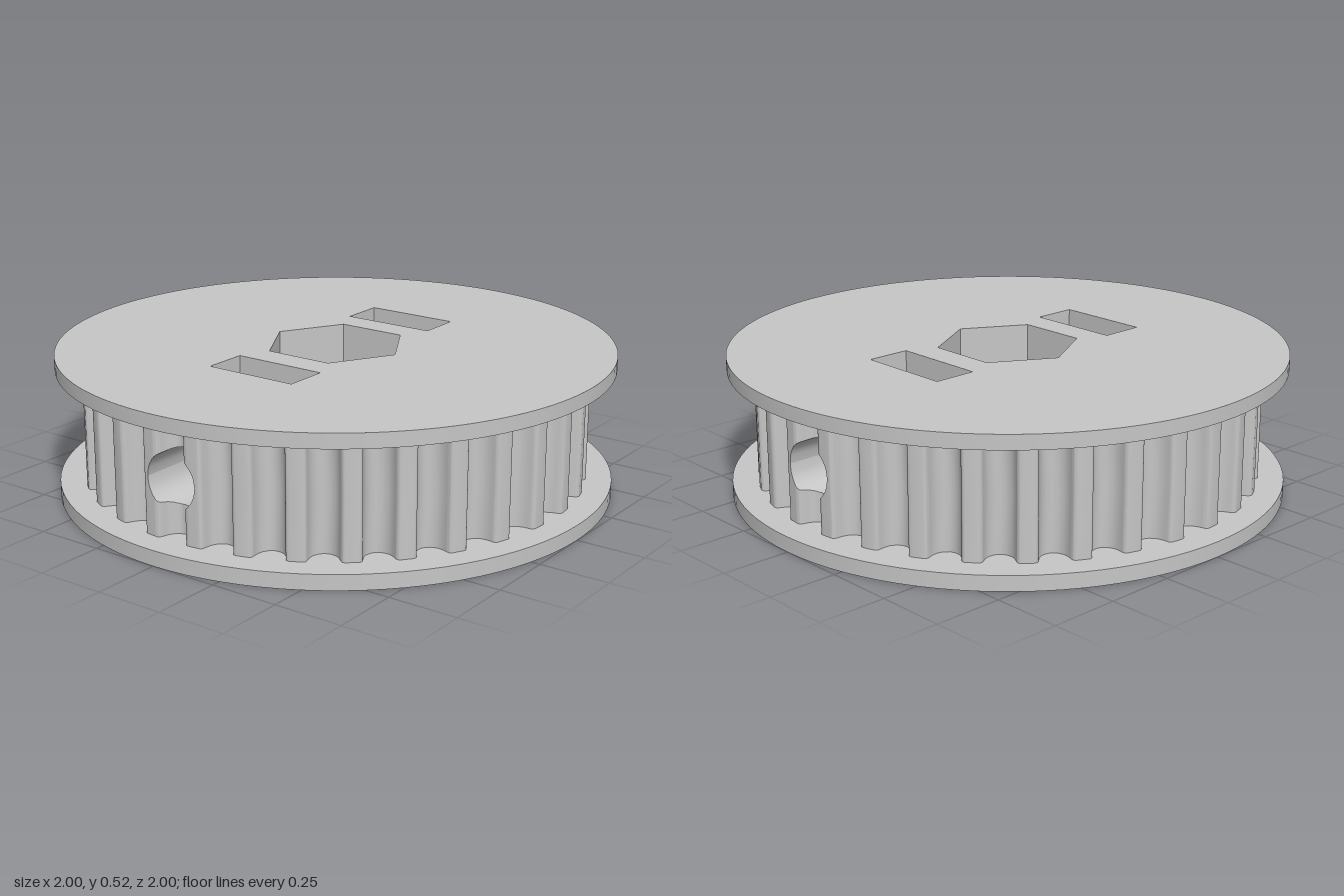
import * as THREE from 'three';
import { toCreasedNormals } from 'three/addons/utils/BufferGeometryUtils.js';

const H = 0.52, LOW = 0.055, HIGH = 0.468;      // total height, flange faces
const TEETH = 32, R = 0.908;                    // toothed rim
const CY = 0.26, HOLE = 0.1;                    // set screw holes along x
const FLAT = 0.222, POINT = 0.256;              // hexagonal bore
const IN = 0.33, OUT = 0.49, PZ = 0.175;        // nut pockets

// Half of one rounded groove: sideways offset, depth
const HALF = [[0.0687, 0], [0.0633, 0.001], [0.0587, 0.004], [0.0553, 0.008], [0.0533, 0.013],
  [0.0512, 0.022], [0.046, 0.0394], [0.036, 0.0565], [0.019, 0.070]];

// Surface between two matching rows of points
function loft(a, b) {
  const pos = [], idx = [];
  a.forEach((p, i) => {
    pos.push(...p, ...b[i]);
    if (i) idx.push(2 * i - 2, 2 * i - 1, 2 * i, 2 * i, 2 * i - 1, 2 * i + 1);
  });
  const g = new THREE.BufferGeometry();
  g.setAttribute('position', new THREE.Float32BufferAttribute(pos, 3));
  g.setIndex(idx);
  return toCreasedNormals(g, 0.6);
}

const polygon = pts => pts.map(([x, y]) => new THREE.Vector2(x, y));
const circlePath = (y, r) => new THREE.Path().absarc(0, y, r, 0, Math.PI * 2, true);

// Closed outline of the toothed rim in x, z, finely divided around the screw holes
function rimOutline() {
  const groove = [...HALF.map(([s, d]) => [-s, d]), [0, 0.075], ...HALF.slice().reverse()];
  const raw = [];
  for (let i = 0; i < TEETH; i++) {
    const a = i / TEETH * Math.PI * 2, c = Math.cos(a), s = Math.sin(a);
    for (const [t, d] of groove) {
      const r = Math.sqrt(R * R - t * t) - d;
      raw.push([r * c - t * s, r * s + t * c]);
    }
  }
  const out = [];
  raw.forEach((a, i) => {
    const b = raw[(i + 1) % raw.length], ts = [0];
    if (Math.abs(a[1]) < 0.13) {
      for (let k = 1; k < 6; k++) ts.push(k / 6);
      for (const z of [-HOLE, HOLE]) {
        const t = (z - a[1]) / (b[1] - a[1]);
        if (t > 0 && t < 1) ts.push(t);
      }
    }
    ts.sort((p, q) => p - q);
    for (const t of ts) out.push([a[0] + (b[0] - a[0]) * t, a[1] + (b[1] - a[1]) * t]);
  });
  out.push(out[0]);
  return out;
}

export function createModel() {
  const group = new THREE.Group();
  const grey = new THREE.MeshStandardMaterial({ color: 0xc6c6c6, side: THREE.DoubleSide });
  grey.name = 'light grey';
  const add = (name, geo) => {
    const m = new THREE.Mesh(geo, grey);
    m.name = name;
    group.add(m);
    return m;
  };

  // Flanges: rim with inner ring, plus the outer face with its openings
  const hex = [0, 1, 2, 3, 4, 5].map(i => {
    const a = Math.PI / 2 + i * Math.PI / 3;
    return [Math.abs(Math.cos(a)) < 0.01 ? 0 : Math.sign(Math.cos(a)) * FLAT, Math.sin(a) * POINT];
  });
  for (const [name, outer, inner] of [['bottomFlange', 0, LOW], ['topFlange', H, HIGH]]) {
    const profile = polygon([[0.82, inner], [1, inner], [1, outer]]);
    add(name + 'Rim', toCreasedNormals(new THREE.LatheGeometry(profile, 96), 0.6));
    const face = new THREE.Shape().absarc(0, 0, 1, 0, Math.PI * 2);
    face.holes.push(new THREE.Path(polygon(hex)));
    if (outer === H) {
      for (const s of [-1, 1]) {
        face.holes.push(new THREE.Path(polygon(
          [[s * IN, -PZ], [s * OUT, -PZ], [s * OUT, PZ], [s * IN, PZ]])));
      }
    }
    const geo = new THREE.ShapeGeometry(face, 96);
    geo.rotateX(outer ? -Math.PI / 2 : Math.PI / 2).translate(0, outer, 0);
    add(name + 'Face', geo);
  }

  // Toothed rim, split above and below the screw holes
  const rim = rimOutline();
  const gap = z => Math.sqrt(Math.max(0, HOLE * HOLE - z * z));
  for (const [name, s, end] of [['lowerTeeth', -1, LOW], ['upperTeeth', 1, HIGH]]) {
    add(name, loft(rim.map(([x, z]) => [x, end, z]), rim.map(([x, z]) => [x, CY + s * gap(z), z])));
  }

  // Bore walls; the two facing x are pierced by the screw holes
  hex.forEach((a, i) => {
    const b = hex[(i + 1) % 6];
    if (Math.abs(a[0] - b[0]) < 0.01) return;
    add('boreWall', loft([[a[0], 0, a[1]], [b[0], 0, b[1]]], [[a[0], H, a[1]], [b[0], H, b[1]]]));
  });
  const plate = (name, pts, x) => {
    const shape = new THREE.Shape(polygon(pts));
    shape.holes.push(circlePath(CY, HOLE));
    add(name, new THREE.ShapeGeometry(shape, 40).rotateY(Math.PI / 2).translate(x, 0, 0));
  };
  const hz = POINT / 2;
  const slot = [[-PZ, H], [-PZ, 0.16], [0, 0.06], [PZ, 0.16], [PZ, H]];

  for (const s of [-1, 1]) {
    plate('piercedBoreWall', [[-hz, 0], [hz, 0], [hz, H], [-hz, H]], s * FLAT);

    // Nut pocket with a V-shaped floor
    plate('pocketInnerCheek', slot, s * IN);
    plate('pocketOuterCheek', slot, s * OUT);
    add('pocketWalls', loft(slot.map(([z, y]) => [s * IN, y, z]), slot.map(([z, y]) => [s * OUT, y, z])));

    // Screw hole: bore to pocket, then pocket to the teeth
    const tube = new THREE.CylinderGeometry(HOLE, HOLE, IN - FLAT, 40, 1, true);
    add('innerScrewHole', tube.rotateZ(Math.PI / 2).translate(s * (IN + FLAT) / 2, 0 + CY, 0));
    const edge = rim.slice(0, -1).filter(([x, z]) => x * s > 0 && Math.abs(z) < HOLE + 1e-6)
      .sort((a, b) => a[1] - b[1]);
    for (const v of [-1, 1]) {
      add('outerScrewHole', loft(edge.map(([, z]) => [s * OUT, CY + v * gap(z), z]),
        edge.map(([x, z]) => [x, CY + v * gap(z), z])));
    }
  }
  return group;
}
